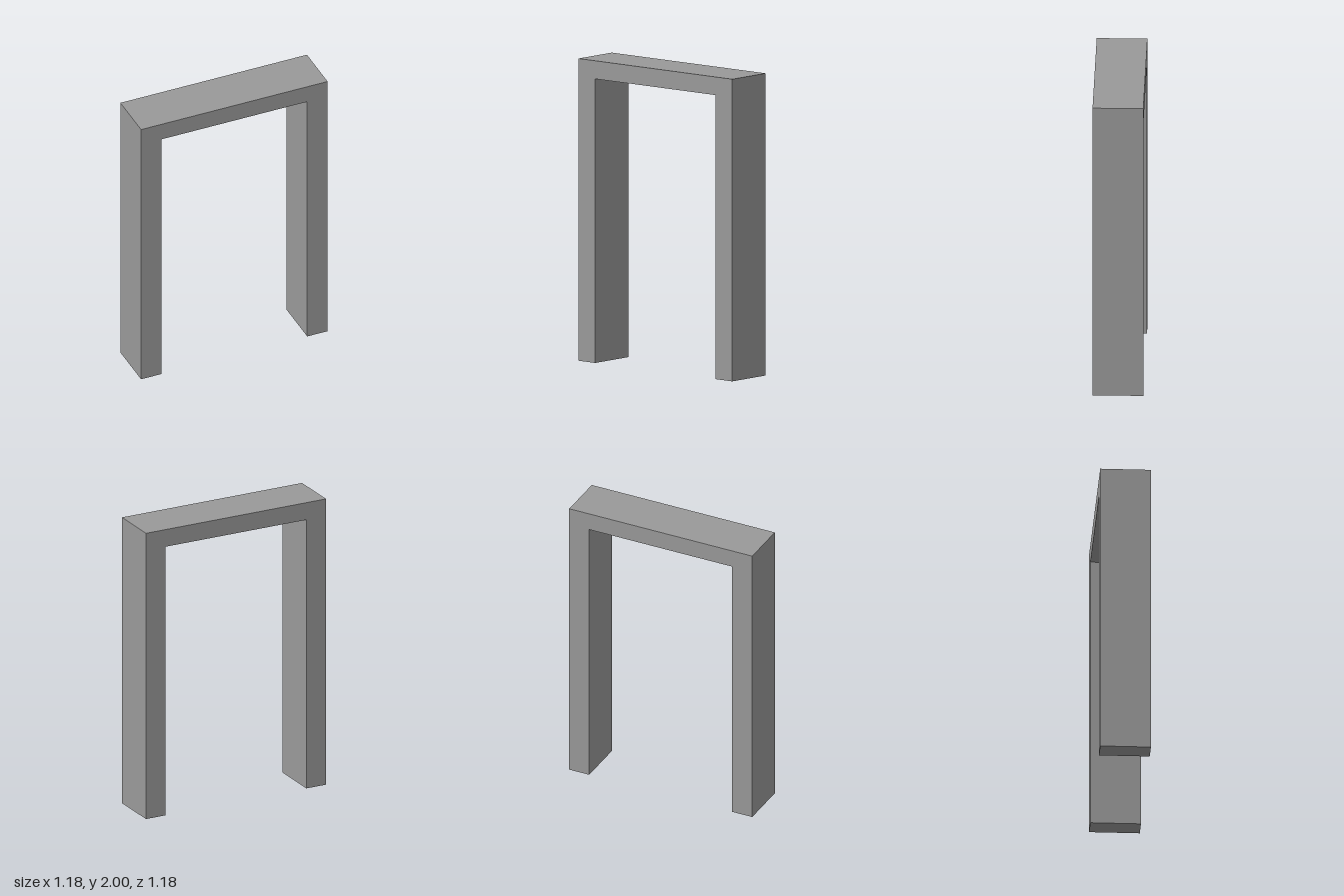
import * as THREE from 'three';

const LENGTH = 1.336, HEIGHT = 2, DEPTH = 0.332;
const POST = 0.146, LINTEL = 0.12;

export function createModel() {
  const group = new THREE.Group();
  group.name = 'doorFrame';
  const grey = new THREE.MeshStandardMaterial({ color: 0x999999 });
  grey.name = 'grey';

  // Two posts and a lintel as one continuous outline, open at the floor
  const outer = LENGTH / 2, inner = outer - POST, under = HEIGHT - LINTEL;
  const outline = new THREE.Shape([
    [-outer, 0], [-inner, 0], [-inner, under], [inner, under],
    [inner, 0], [outer, 0], [outer, HEIGHT], [-outer, HEIGHT],
  ].map(([x, y]) => new THREE.Vector2(x, y)));
  const geometry = new THREE.ExtrudeGeometry(outline, { depth: DEPTH, bevelEnabled: false });
  geometry.translate(0, 0, -DEPTH / 2);

  const frame = new THREE.Mesh(geometry, grey);
  frame.name = 'postsAndLintel';
  // The frame stands diagonally
  frame.rotation.y = Math.PI / 4;
  group.add(frame);
  return group;
}
